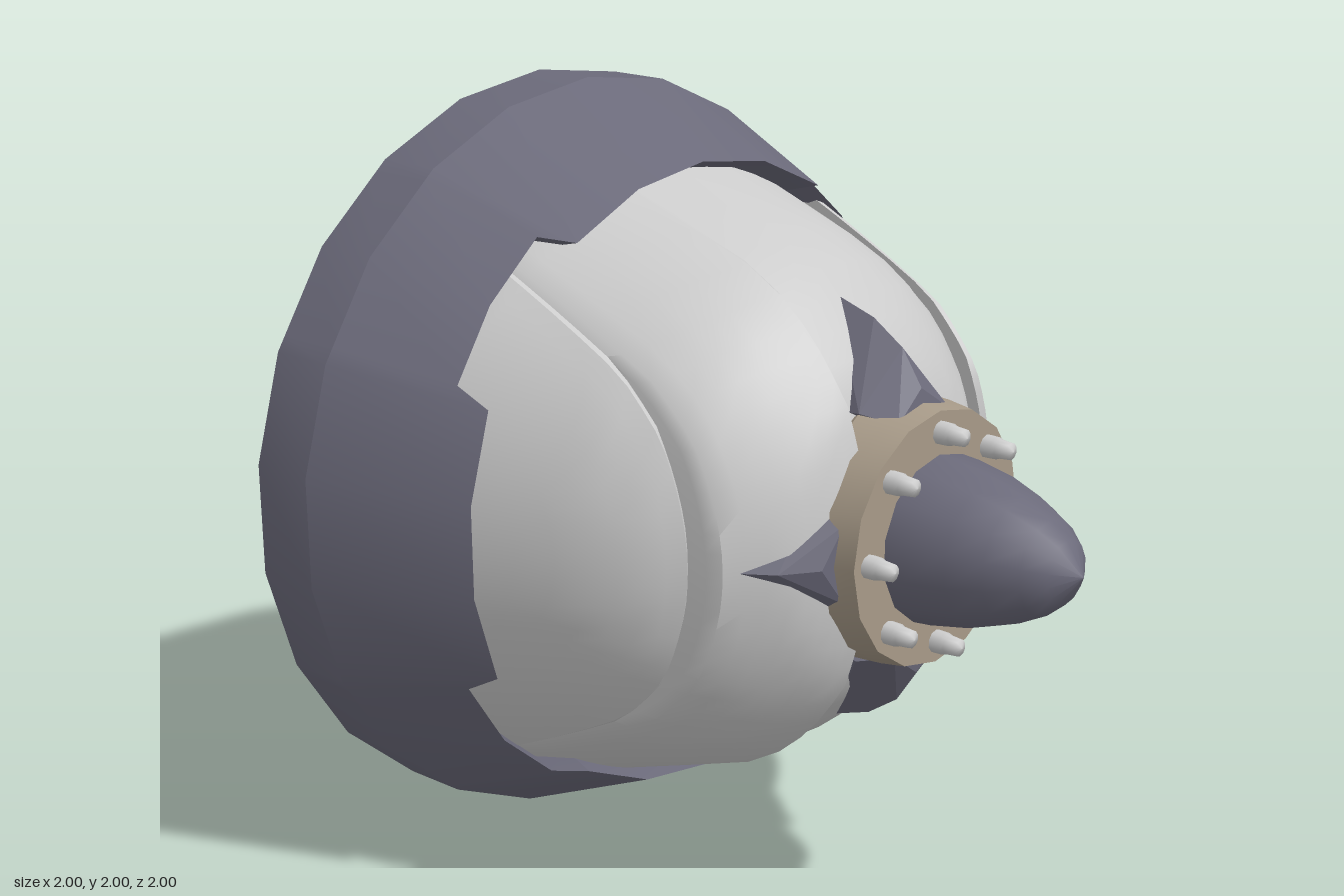
import * as THREE from 'three';
import { toCreasedNormals } from 'three/addons/utils/BufferGeometryUtils.js';
import { ConvexGeometry } from 'three/addons/geometries/ConvexGeometry.js';

const material = (color) => new THREE.MeshStandardMaterial({ color });
const plain = material(0xcccccc);
const iron = material(0x6b6a7a);
const bronze = material(0xa79a88);

const V = (x, y, z) => new THREE.Vector3(x, y, z);

function add(parent, name, geometry, mat) {
  const mesh = new THREE.Mesh(geometry, mat);
  mesh.name = name;
  parent.add(mesh);
  return mesh;
}

// Skin a row of closed cross-sections; the row is either a ring or capped at both ends
function skin(loops, ring, crease) {
  const n = loops.length, m = loops[0].length, index = [];
  const quad = (a, b, c, d) => index.push(a, b, c, a, c, d);
  for (let i = 0; i < (ring ? n : n - 1); i++) {
    for (let j = 0; j < m; j++) {
      const p = i * m, q = ((i + 1) % n) * m, k = (j + 1) % m;
      quad(p + j, q + j, q + k, p + k);
    }
  }
  if (!ring) {
    const e = (n - 1) * m;
    for (let j = 0; j < m / 2 - 1; j++) {
      quad(j, j + 1, m - 2 - j, m - 1 - j);
      quad(e + m - 1 - j, e + m - 2 - j, e + j + 1, e + j);
    }
  }
  const g = new THREE.BufferGeometry().setFromPoints(loops.flat());
  g.setIndex(index);
  return toCreasedNormals(g, crease);
}

// Dome height for a distance from the axis
const DOME = [[0, 0.46], [0.2, 0.44], [0.32, 0.41], [0.42, 0.37], [0.54, 0.27],
  [0.62, 0.18], [0.69, 0.05], [0.77, -0.2], [0.9, -0.61]];
function dome(r) {
  let i = 1;
  while (i < DOME.length - 1 && r > DOME[i][0]) i++;
  const [r0, z0] = DOME[i - 1], [r1, z1] = DOME[i];
  return z0 + (z1 - z0) * (r - r0) / (r1 - r0);
}

// One solid upright plank: domed front with bevelled long edges, shallow hollow back
function plank(x0, x1, scale, lift) {
  const R = 0.86, rows = 28, bevel = 0.014;
  const xs = [x0];
  for (let i = 0; i <= 8; i++) xs.push(x0 + bevel + (x1 - x0 - 2 * bevel) * i / 8);
  xs.push(x1);
  const loops = xs.map((x, i) => {
    const drop = i === 0 || i === xs.length - 1 ? 0.025 : 0;
    const Y = Math.sqrt(R * R - x * x);
    const front = [], back = [];
    for (let j = 0; j <= rows; j++) {
      const y = Y * (2 * j / rows - 1), r = Math.hypot(x, y);
      const zBack = -0.425 - 0.19 * r * r;
      front.push(V(x, y, Math.max(dome(r / scale) + lift - drop, zBack + 0.015)));
      back.unshift(V(x, y, zBack));
    }
    return [...front, ...back];
  });
  return skin(loops, false, 0.5);
}

// Twenty-two-sided rim with four forward tabs at the top, bottom and sides
function rim() {
  const step = 180 / 11, rad = Math.PI / 180;
  const quarter = [step / 2, 1.5 * step, 27, 2.5 * step, 55, 3.5 * step, 4.5 * step, 90];
  const all = new Set(quarter.flatMap((a) => [a, 180 - a, 180 + a, 360 - a]));
  const loops = [...all].sort((a, b) => a - b).map((deg) => {
    const f = deg % 180, fold = f > 90 ? 180 - f : f;
    const tab = fold < 25 || fold > 57;
    const chord = Math.cos(step / 2 * rad) / Math.cos(((deg + 270) % step - step / 2) * rad);
    const profile = tab
      ? [[1, -0.785], [1, -0.605], [0.83, -0.2], [0.8, -0.3], [0.8, -0.785]]
      : [[1, -0.785], [1, -0.605], [0.868, -0.29], [0.85, -0.35], [0.85, -0.785]];
    return profile.map(([r, z]) =>
      V(1.01 * r * chord * Math.cos(deg * rad), r * chord * Math.sin(deg * rad), z));
  });
  return skin(loops, true, 0.35);
}

const lathe = (points, sides) => new THREE.LatheGeometry(
  points.map(([r, z]) => new THREE.Vector2(r, z)), sides).rotateX(Math.PI / 2);

export function createModel() {
  const model = new THREE.Group();
  model.name = 'shield';
  const body = new THREE.Group();
  body.name = 'shieldBody';
  body.position.y = 1;
  model.add(body);

  add(body, 'rim', rim(), iron);

  // Planks: left edge, right edge, radius scale, forward lift
  [[-0.855, -0.555, 1.04, 0], [-0.555, -0.195, 1, 0.08], [-0.195, 0.59, 1, 0], [0.59, 0.855, 1.05, 0.045]]
    .forEach((p, i) => add(body, `plank${i + 1}`, plank(...p), plain));

  // Boss collar and its central horn
  add(body, 'bossCollar', toCreasedNormals(lathe(
    [[0.3, 0.36], [0.34, 0.42], [0.335, 0.5], [0.325, 0.57], [0, 0.57]], 16), 0.45), bronze);
  add(body, 'horn', lathe(
    [[0.215, 0.56], [0.21, 0.62], [0.19, 0.73], [0.16, 0.82], [0.12, 0.9], [0.08, 0.95], [0, 1]], 14), iron);

  // Eight studs around the collar
  for (let i = 0; i < 8; i++) {
    const a = i * Math.PI / 4;
    const stud = add(body, 'collarStud', lathe(
      [[0.03, 0.56], [0.029, 0.6], [0.025, 0.61], [0.022, 0.645], [0, 0.652]], 10), plain);
    stud.position.set(0.27 * Math.cos(a), 0.27 * Math.sin(a), 0);
  }

  // Four swept-back spikes around the collar
  for (let i = 0; i < 4; i++) {
    const spike = add(body, 'collarSpike', new ConvexGeometry([
      V(-0.1, 0.3, 0.52), V(0.1, 0.3, 0.52), V(-0.14, 0.32, 0.43), V(0.14, 0.32, 0.43),
      V(-0.13, 0.31, 0.33), V(0.13, 0.31, 0.33),
      V(0, 0.37, 0.51), V(0, 0.46, 0.45), V(0, 0.52, 0.36), V(0, 0.56, 0.235), V(0, 0.3, 0.3)]), iron);
    spike.rotation.z = i * Math.PI / 2;
  }

  // Handle: bent strap with a flanged foot at each end, upper half drawn as [z, y]
  const outer = [[-0.49, 0.46], [-0.49, 0.33], [-0.62, 0.29], [-0.78, 0.27], [-0.91, 0.215], [-1, 0.08]];
  const inner = [[-0.45, 0.46], [-0.45, 0.3], [-0.62, 0.265], [-0.78, 0.25], [-0.89, 0.195], [-0.965, 0.07]];
  const mirror = (pts) => pts.map(([z, y]) => [z, -y]);
  const outline = [...outer, ...mirror(outer).reverse(), ...mirror(inner), ...inner.reverse()];
  const shape = new THREE.Shape(outline.map(([z, y]) => new THREE.Vector2(z, y)));
  const strap = new THREE.ExtrudeGeometry(shape, { depth: 0.105, bevelEnabled: false });
  strap.translate(0, 0, -0.0525).rotateY(-Math.PI / 2);
  add(body, 'handle', toCreasedNormals(strap, 0.6), plain);

  // Bolts through the handle feet
  for (const s of [1, -1]) {
    const bolt = add(body, 'handleBolt', new THREE.CylinderGeometry(0.027, 0.027, 0.13, 10).rotateX(Math.PI / 2), iron);
    bolt.position.set(0, s * 0.4, -0.5);
  }
  return model;
}
